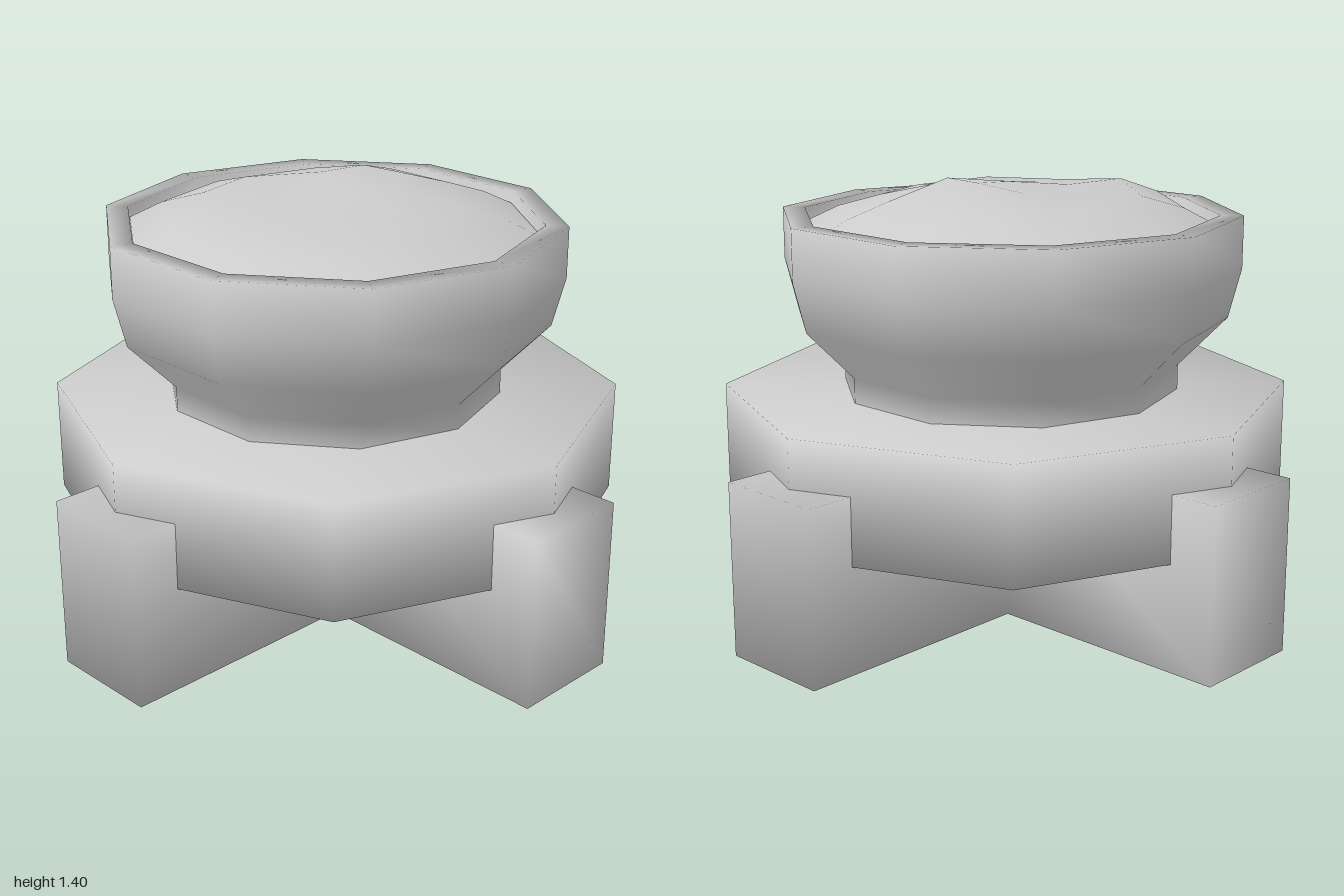
import * as THREE from 'three';
import { mergeVertices } from 'three/addons/utils/BufferGeometryUtils.js';

const material = new THREE.MeshStandardMaterial({ color: 0xcccccc });

// Weld shared corners so shading runs smoothly over every edge
function weld(geometry) {
  geometry.deleteAttribute('uv');
  geometry.deleteAttribute('normal');
  const welded = mergeVertices(geometry, 1e-4);
  welded.computeVertexNormals();
  return welded;
}

export function createModel() {
  const model = new THREE.Group();
  const add = (name, geometry, x, y, z) => {
    const mesh = new THREE.Mesh(geometry, material);
    mesh.name = name;
    mesh.position.set(x, y, z);
    model.add(mesh);
    return mesh;
  };

  // Cross-shaped foot
  const w = 0.185;
  const arm = [[w, w], [w, 1], [-w, 1], [-w, w]];
  const cross = [];
  for (let i = 0; i < 4; i++) {
    const c = Math.round(Math.cos(i * Math.PI / 2));
    const s = Math.round(Math.sin(i * Math.PI / 2));
    for (const [x, y] of arm.slice(0, 3)) {
      cross.push(new THREE.Vector2(x * c - y * s, x * s + y * c));
    }
  }
  const foot = new THREE.ExtrudeGeometry(new THREE.Shape(cross), { depth: 0.555, bevelEnabled: false });
  foot.rotateX(-Math.PI / 2);
  add('crossFoot', weld(foot), 0, 0, 0);

  // Octagonal slab resting in the foot
  add('slab', weld(new THREE.CylinderGeometry(0.92, 0.92, 0.37, 8)), 0, 0.525, 0);

  // Ten-sided bowl with a thick rim
  const profile = [
    [0.55, 0.70], [0.55, 0.79], [0.705, 0.95], [0.745, 1.11],
    [0.745, 1.278], [0.672, 1.278], [0.672, 1.1], [0, 1.08],
  ].map(([r, y]) => new THREE.Vector2(r, y));
  add('bowl', new THREE.LatheGeometry(profile, 10, Math.PI / 2), -0.015, 0, 0);

  // Uneven heap filling the bowl
  const heapProfile = [[0.668, 1.235], [0.56, 1.29], [0.42, 1.33], [0.22, 1.348], [0, 1.355]]
    .map(([r, y]) => new THREE.Vector2(r, y));
  const heap = new THREE.LatheGeometry(heapProfile, 10, Math.PI / 2);
  const p = heap.attributes.position;
  const bump = (x, z, cx, cz, h) => h * Math.exp(-((x - cx) ** 2 + (z - cz) ** 2) / 0.03);
  for (let i = 0; i < p.count; i++) {
    const x = p.getX(i), z = p.getZ(i);
    const ripple = 0.008 * Math.sin(7 * x + 2) * Math.cos(6 * z + 1);
    p.setY(i, p.getY(i) + ripple + bump(x, z, 0.02, -0.19, 0.05) + bump(x, z, -0.13, 0.42, 0.035));
  }
  add('heap', weld(heap), -0.015, 0, 0);

  return model;
}
